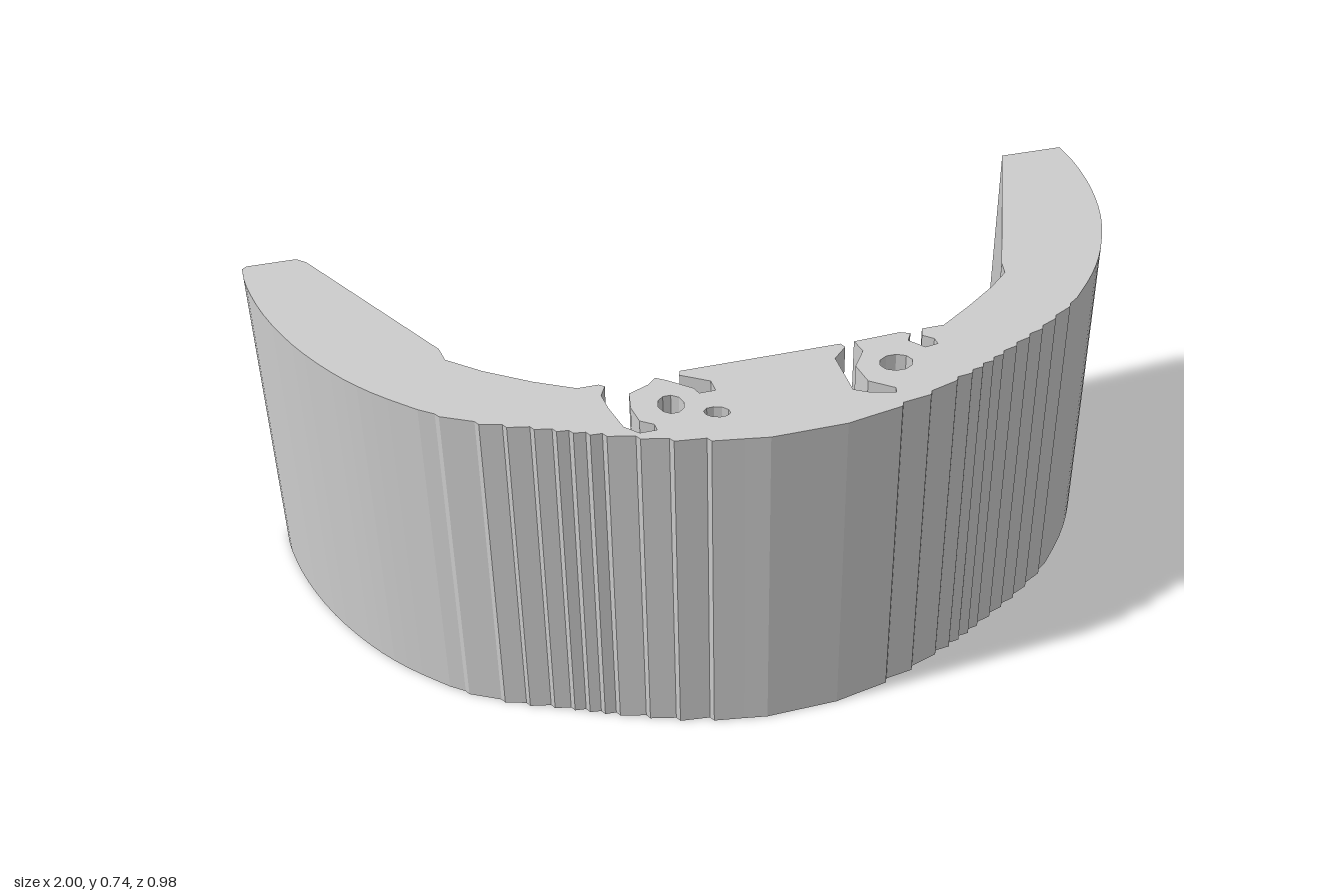
import * as THREE from 'three';

const HEIGHT = 0.74;
const STEP = { x: 0.006, z: 0.012 };

// Smooth run of points through a few guide points
const smooth = (guide, count) =>
  new THREE.SplineCurve(guide.map(([x, z]) => new THREE.Vector2(x, z))).getPoints(count).map((p) => [p.x, p.y]);

// Adds a small ledge beside each point, rising towards the centre of the band
const stepped = (points) => points.flatMap(([x, z]) => {
  const ledge = [x - Math.sign(x) * STEP.x, z + STEP.z];
  return x > 0 ? [[x, z], ledge] : [ledge, [x, z]];
});

// Outer curve of the band, from the left (+x) tip round the front to the right tip
const outer = [
  ...smooth([[1, -0.49], [0.998, -0.4], [0.978, -0.27], [0.935, -0.13], [0.87, 0], [0.8, 0.1], [0.72, 0.187]], 18),
  ...stepped([
    [0.695, 0.205], [0.645, 0.24], [0.6, 0.27], [0.56, 0.292], [0.52, 0.315], [0.48, 0.337],
    [0.45, 0.354], [0.42, 0.369], [0.39, 0.384], [0.35, 0.4], [0.28, 0.432], [0.21, 0.454],
  ]),
  [0.13, 0.48], [0.08, 0.49], [-0.08, 0.49], [-0.13, 0.48],
  ...stepped([
    [-0.2, 0.456], [-0.27, 0.435], [-0.33, 0.408], [-0.39, 0.38], [-0.42, 0.366], [-0.45, 0.35],
    [-0.48, 0.335], [-0.52, 0.315], [-0.57, 0.292], [-0.62, 0.265], [-0.69, 0.215],
  ]),
  ...smooth([[-0.72, 0.19], [-0.8, 0.1], [-0.867, 0], [-0.93, -0.13], [-0.975, -0.27], [-0.998, -0.4], [-1, -0.48]], 18),
  [-0.99, -0.49],
];

// Inner faces and the hooked slots on either side of the centre block
const innerRight = [[-0.88, -0.49], [-0.86, -0.47], [-0.64, -0.02], [-0.635, 0.025], [-0.57, 0.09], [-0.48, 0.16], [-0.4, 0.21]];
const rightSlots = [
  [-0.355, 0.21], [-0.345, 0.22], [-0.36, 0.25], [-0.357, 0.3], [-0.345, 0.37], [-0.32, 0.4],
  [-0.285, 0.4], [-0.285, 0.38], [-0.31, 0.36], [-0.315, 0.31], [-0.305, 0.26], [-0.26, 0.24],
  [-0.24, 0.22], [-0.22, 0.235], [-0.175, 0.28], [-0.17, 0.3], [-0.135, 0.3], [-0.135, 0.265],
  [-0.19, 0.225], [-0.185, 0.21],
];
const leftSlots = [
  [0.165, 0.21], [0.17, 0.225], [0.135, 0.26], [0.13, 0.38], [0.16, 0.4], [0.21, 0.415],
  [0.215, 0.4], [0.17, 0.36], [0.165, 0.3], [0.2, 0.25], [0.195, 0.21], [0.3, 0.205],
  [0.32, 0.215], [0.305, 0.24], [0.33, 0.275], [0.36, 0.27], [0.36, 0.25], [0.34, 0.23], [0.35, 0.205],
];
const innerLeft = [[0.4, 0.205], [0.48, 0.15], [0.56, 0.09], [0.615, 0.04], [0.625, 0], [0.845, -0.49]];

// Elliptical through hole
function hole(x, z, rx, rz, turn = 0) {
  return new THREE.Path().absellipse(x, z, rx, rz, 0, Math.PI * 2, true, turn);
}

export function createModel() {
  const model = new THREE.Group();
  const grey = new THREE.MeshStandardMaterial({ color: 0xcccccc });
  grey.name = 'light grey';

  const points = [...outer, ...innerRight, ...rightSlots, ...leftSlots, ...innerLeft];
  const outline = new THREE.Shape(points.map(([x, z]) => new THREE.Vector2(x, z)));
  outline.holes.push(
    hole(-0.235, 0.322, 0.027, 0.033),
    hole(-0.155, 0.375, 0.027, 0.018, 0.4),
    hole(0.25, 0.312, 0.036, 0.03),
  );

  // Plan outline raised to full height
  const geometry = new THREE.ExtrudeGeometry(outline, { depth: HEIGHT, bevelEnabled: false, curveSegments: 5 });
  geometry.rotateX(Math.PI / 2);
  geometry.translate(0, HEIGHT, 0);
  const band = new THREE.Mesh(geometry, grey);
  band.name = 'curvedBand';
  model.add(band);
  return model;
}
